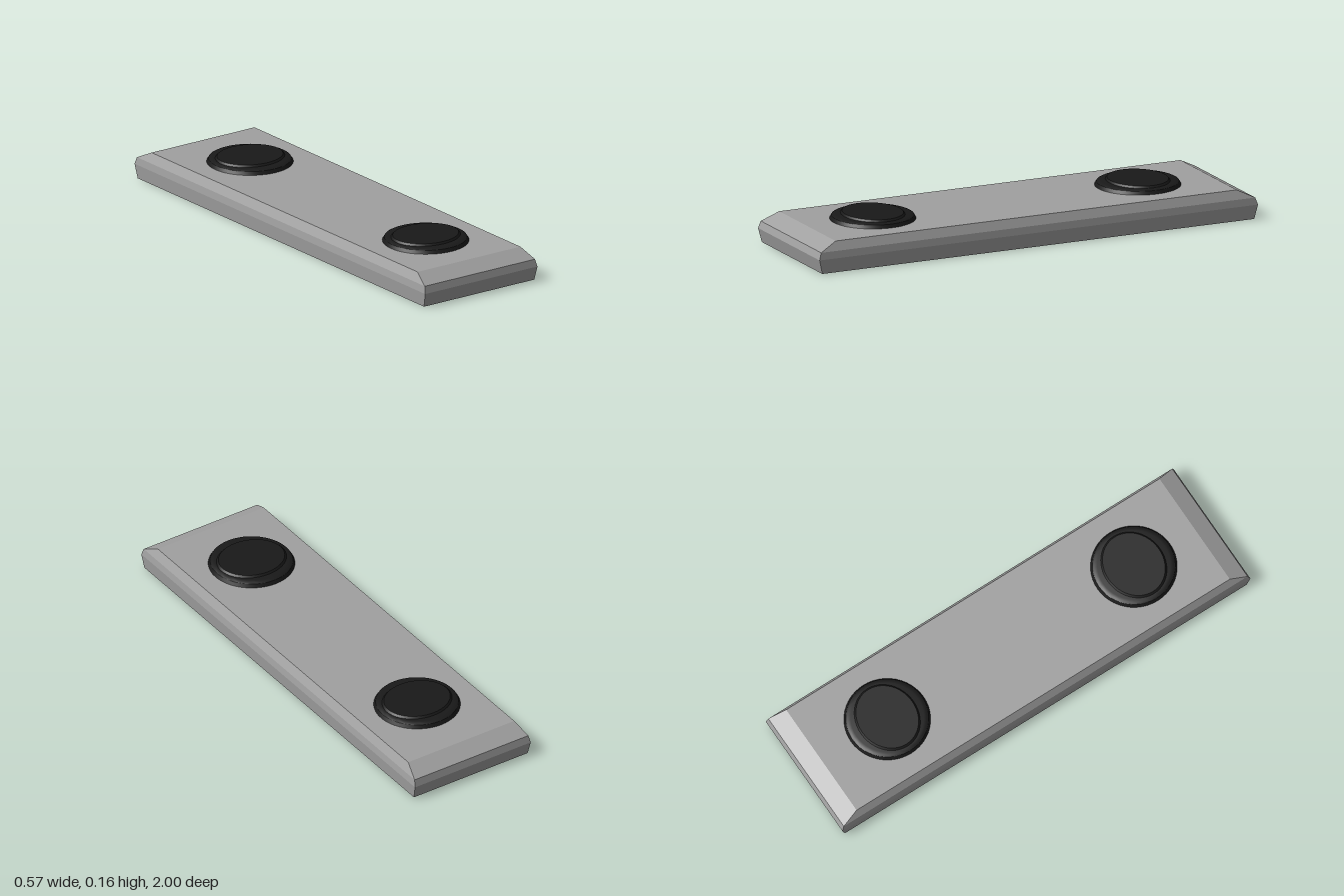
import * as THREE from 'three';
import { toCreasedNormals } from 'three/addons/utils/BufferGeometryUtils.js';

// Rectangular cross-sections stacked in y: [y, half width, half length]
function stackedSlab(sections) {
  const corners = [[-1, 1], [1, 1], [1, -1], [-1, -1]];
  const pos = [];
  const index = [];
  for (const [y, hx, hz] of sections) {
    for (const [sx, sz] of corners) pos.push(sx * hx, y, sz * hz);
  }
  for (let i = 0; i < sections.length - 1; i++) {
    for (let j = 0; j < 4; j++) {
      const a = i * 4 + j;
      const b = i * 4 + (j + 1) % 4;
      index.push(a, b, b + 4, a, b + 4, a + 4);
    }
  }
  const t = (sections.length - 1) * 4;
  index.push(0, 2, 1, 0, 3, 2); // underside
  index.push(t, t + 1, t + 2, t, t + 2, t + 3); // top
  const g = new THREE.BufferGeometry();
  g.setAttribute('position', new THREE.Float32BufferAttribute(pos, 3));
  g.setIndex(index);
  const flat = g.toNonIndexed();
  flat.computeVertexNormals();
  return flat;
}

function turned(profile) {
  const points = profile.map(([r, y]) => new THREE.Vector2(r, y));
  return toCreasedNormals(new THREE.LatheGeometry(points, 48), 0.35);
}

export function createModel() {
  const model = new THREE.Group();
  const grey = new THREE.MeshStandardMaterial({ color: 0xa0a0a0, flatShading: true });
  const black = new THREE.MeshStandardMaterial({ color: 0x191919 });

  // Bevelled bar
  const body = new THREE.Mesh(stackedSlab([
    [0, 0.281, 0.985],
    [0.06, 0.286, 1],
    [0.09, 0.281, 0.99],
    [0.127, 0.262, 0.915],
  ]), grey);
  body.name = 'body';
  model.add(body);

  // Round pad with a bevelled rim, and the slightly oval raised cap on it
  const padGeometry = turned([
    [0.178, 0], [0.17, 0.014], [0.162, 0.018], [0.15, 0.02], [0, 0.02],
  ]);
  const capGeometry = turned([[0.152, 0.018], [0.149, 0.021], [0.142, 0.028], [0, 0.028]]);
  capGeometry.scale(1, 1, 0.86);

  for (const [name, z] of [['frontButton', 0.617], ['backButton', -0.592]]) {
    const button = new THREE.Group();
    button.name = name;
    const pad = new THREE.Mesh(padGeometry, black);
    pad.name = 'pad';
    const cap = new THREE.Mesh(capGeometry, black);
    cap.name = 'cap';
    button.add(pad, cap);
    button.position.set(0, 0.127, z);
    model.add(button);
  }
  return model;
}
